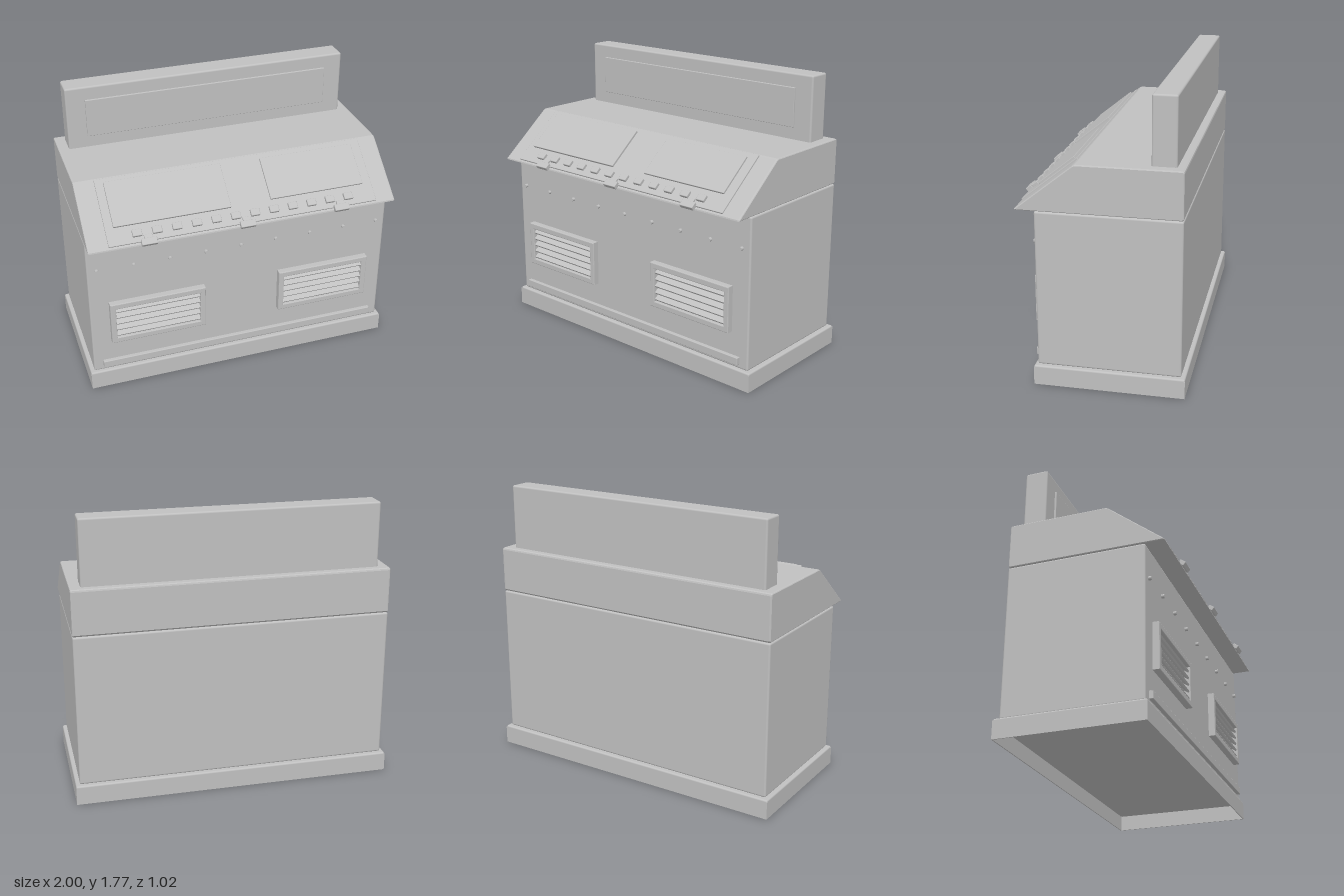
import * as THREE from 'three';
import { RoundedBoxGeometry } from 'three/addons/geometries/RoundedBoxGeometry.js';

export function createModel() {
  const model = new THREE.Group();
  model.name = 'controlConsole';
  const grey = new THREE.MeshStandardMaterial({ color: 0xc0c0c0 });
  grey.name = 'plain grey';

  const add = (name, geometry, parent = model) => {
    const mesh = new THREE.Mesh(geometry, grey);
    mesh.name = name;
    parent.add(mesh);
    return mesh;
  };
  // Box given by its extents, with rounded edges when r > 0
  const box = (name, [x0, x1], [y0, y1], [z0, z1], r = 0, parent = model) => {
    const size = [x1 - x0, y1 - y0, z1 - z0];
    const geometry = r ? new RoundedBoxGeometry(...size, 2, r) : new THREE.BoxGeometry(...size);
    const mesh = add(name, geometry, parent);
    mesh.position.set((x0 + x1) / 2, (y0 + y1) / 2, (z0 + z1) / 2);
    return mesh;
  };
  const rectangle = (path, x0, x1, y0, y1) =>
    path.moveTo(x0, y0).lineTo(x1, y0).lineTo(x1, y1).lineTo(x0, y1).closePath();

  // Plinth: thin skirt, hollow underneath, closed by a top plate
  const skirt = rectangle(new THREE.Shape(), -1, 1, -0.39, 0.51);
  skirt.holes.push(rectangle(new THREE.Path(), -0.994, 0.994, -0.384, 0.504));
  add('plinthSkirt', new THREE.ExtrudeGeometry(skirt, { depth: 0.11, bevelEnabled: false }).rotateX(-Math.PI / 2));
  box('plinthTop', [-1, 1], [0.098, 0.122], [-0.51, 0.39], 0.011);

  // Cabinet
  box('cabinet', [-0.975, 0.975], [0.122, 1.078], [-0.485, 0.37], 0.012);

  // Desk with sloping front, extruded across the width
  const profile = new THREE.Shape([
    [-0.485, 1.09], [-0.477, 1.08], [0.485, 1.08], [0.483, 1.088], [0.142, 1.36],
    [0.128, 1.366], [-0.473, 1.366], [-0.482, 1.362], [-0.485, 1.353],
  ].map(([z, y]) => new THREE.Vector2(z, y)));
  const bevel = 0.01;
  const desk = new THREE.ExtrudeGeometry(profile, {
    depth: 1.95 - 2 * bevel, bevelThickness: bevel, bevelSize: 0.006, bevelOffset: -0.006, bevelSegments: 2,
  });
  add('desk', desk.translate(0, 0, -0.975 + bevel).rotateY(-Math.PI / 2));

  // Upright sign board with raised face
  box('signBoard', [-0.91, 0.91], [1.35, 1.77], [-0.435, -0.29], 0.012);
  box('signFace', [-0.79, 0.79], [1.442, 1.685], [-0.295, -0.278], 0.003);

  // Control panel, local y runs up the slope and z points out of it
  const panel = new THREE.Group();
  panel.name = 'controlPanel';
  panel.position.set(0, 1.2225, 0.3075);
  panel.rotation.x = -0.895;
  model.add(panel);
  box('panelPlate', [-0.85, 0.85], [-0.208, 0.22], [-0.004, 0.014], 0.003, panel);
  box('wideScreen', [-0.8, -0.075], [-0.096, 0.193], [0.01, 0.028], 0.003, panel);
  box('narrowScreen', [0.18, 0.79], [-0.088, 0.186], [0.01, 0.026], 0.003, panel);
  for (let i = 0; i < 12; i++) {
    const x = (i - 5.5) * 0.122;
    box('button', [x - 0.029, x + 0.029], [-0.174, -0.13], [0.01, 0.032], 0.005, panel);
  }
  for (const x of [-0.61, 0, 0.61]) {
    box('latch', [x - 0.048, x + 0.048], [-0.237, -0.195], [0.004, 0.032], 0.004, panel);
    box('latchStem', [x - 0.025, x + 0.025], [-0.2, -0.17], [0.008, 0.026], 0.003, panel);
  }

  // Louvred vents
  for (const side of [-1, 1]) {
    const vent = new THREE.Group();
    vent.name = side > 0 ? 'leftVent' : 'rightVent';
    vent.position.set(side * 0.55, 0.49, 0.365);
    model.add(vent);
    const frame = rectangle(new THREE.Shape(), -0.3, 0.3, -0.14, 0.14);
    frame.holes.push(rectangle(new THREE.Path(), -0.275, 0.275, -0.113, 0.113));
    add('ventFrame', new THREE.ExtrudeGeometry(frame, {
      depth: 0.041, bevelThickness: 0.005, bevelSize: 0.005, bevelSegments: 2,
    }), vent);
    for (let i = 0; i < 5; i++) {
      const y = (i - 2) * 0.044;
      const slat = box('ventSlat', [-0.275, 0.275], [y - 0.006, y + 0.006], [0.004, 0.04], 0, vent);
      slat.rotation.x = 0.6;
    }
  }

  // Row of rivets and the kick strip
  for (let i = -4; i <= 4; i++) {
    const rivet = add('rivet', new THREE.CylinderGeometry(0.012, 0.012, 0.022, 12).rotateX(Math.PI / 2));
    rivet.position.set(i * 0.2285, 0.88, 0.378);
  }
  box('kickStrip', [-0.915, 0.915], [0.15, 0.198], [0.365, 0.394], 0.004);

  return model;
}
